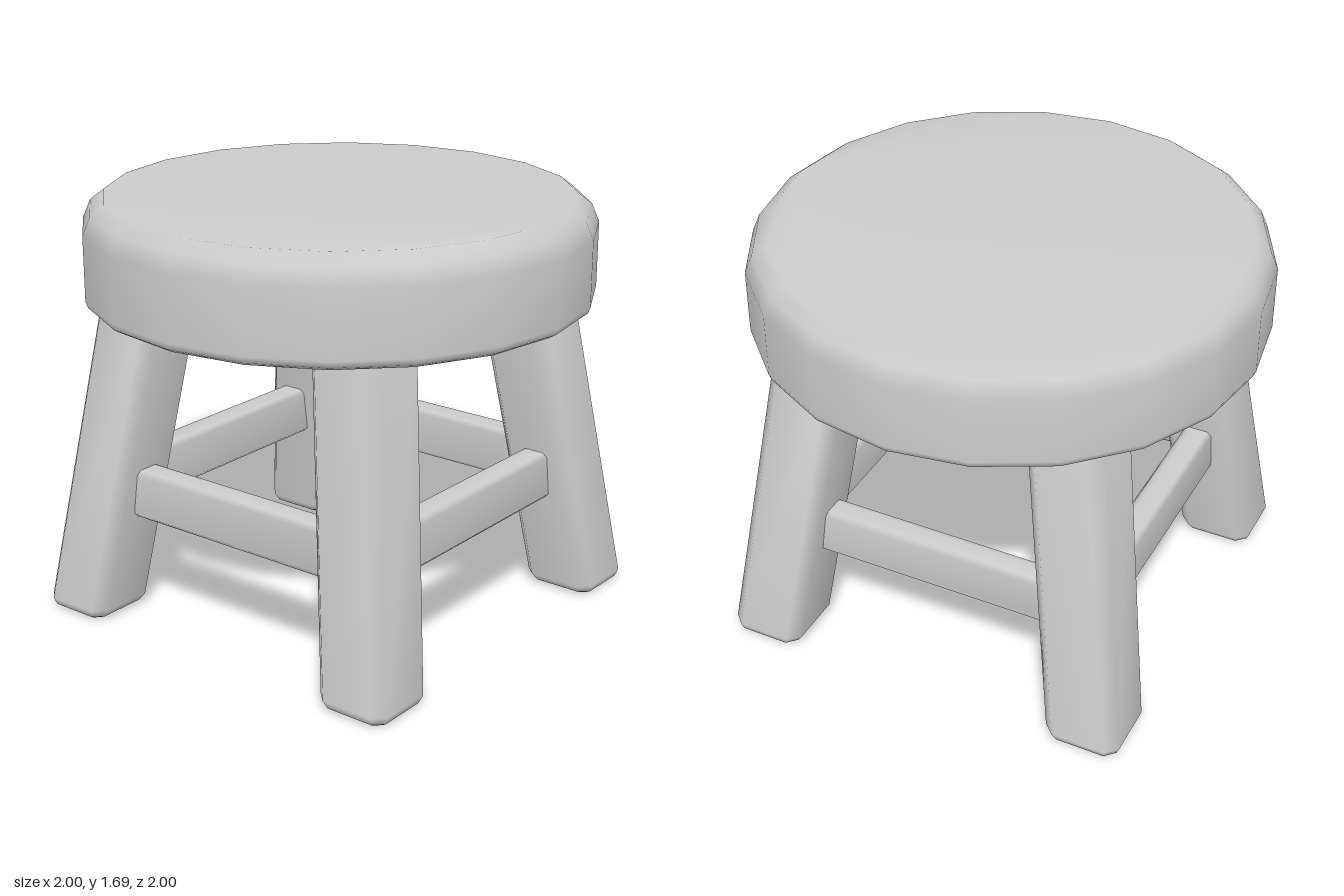
import * as THREE from 'three';

const material = new THREE.MeshStandardMaterial({ color: 0xcccccc });

// Skins horizontal rings of equal point count, listed bottom to top, and caps both ends.
// Shared vertices give smooth normals weighted by face area.
function loft(rings) {
  const n = rings[0].length;
  const positions = rings.flat(2);
  const index = [];
  for (let r = 0; r < rings.length - 1; r++) {
    for (let i = 0; i < n; i++) {
      const a = r * n + i, b = r * n + (i + 1) % n;
      index.push(a, a + n, b, b, a + n, b + n);
    }
  }
  const top = (rings.length - 1) * n;
  for (let i = 1; i < n - 1; i++) {
    index.push(0, i, i + 1);
    index.push(top, top + i + 1, top + i);
  }
  const geometry = new THREE.BufferGeometry();
  geometry.setAttribute('position', new THREE.Float32BufferAttribute(positions, 3));
  geometry.setIndex(index);
  geometry.computeVertexNormals();
  return geometry;
}

// Rectangular ring with cut corners, ordered from +x towards +z.
function cutRect(cx, y, cz, hx, hz, cut) {
  return [
    [hx, -hz + cut], [hx, hz - cut], [hx - cut, hz], [-hx + cut, hz],
    [-hx, hz - cut], [-hx, -hz + cut], [-hx + cut, -hz], [hx - cut, -hz],
  ].map(([x, z]) => [cx + x, y, cz + z]);
}

function addMesh(parent, name, geometry) {
  const mesh = new THREE.Mesh(geometry, material);
  mesh.name = name;
  parent.add(mesh);
  return mesh;
}

// Thick twenty-sided seat with rounded rims
function seatGeometry() {
  const profile = [[0.965, 1.285], [0.99, 1.3], [1, 1.325], [1, 1.58], [0.97, 1.65], [0.915, 1.692]];
  return loft(profile.map(([radius, y]) => Array.from({ length: 20 }, (_, i) => {
    const a = i / 20 * Math.PI * 2;
    return [radius * Math.cos(a), y, radius * Math.sin(a)];
  })));
}

// Square leg leaning inwards on both axes, with bevelled edges and foot
function legGeometry() {
  const centre = (y) => 0.706 - 0.141 * y;
  const ring = (y, half, cut) => cutRect(centre(y), y, centre(y), half, half, cut);
  return loft([
    ring(0, 0.113, 0.025),
    ring(0.014, 0.136, 0.038),
    ring(0.045, 0.153, 0.045),
    ring(1.3, 0.153, 0.045),
  ]);
}

// Bevelled rail running between two legs along x
function railGeometry() {
  const ring = (y, hx, hz) => cutRect(0, y, 0, hx, hz, 0.018);
  return loft([
    ring(0.428, 0.532, 0.042),
    ring(0.446, 0.55, 0.06),
    ring(0.61, 0.55, 0.06),
    ring(0.628, 0.532, 0.042),
  ]);
}

export function createModel() {
  const stool = new THREE.Group();
  stool.name = 'stool';
  addMesh(stool, 'seat', seatGeometry());

  // Four legs and four rails, repeated by quarter turns
  const leg = legGeometry(), rail = railGeometry();
  const legNames = ['frontLeftLeg', 'backLeftLeg', 'backRightLeg', 'frontRightLeg'];
  const railNames = ['frontRail', 'leftRail', 'backRail', 'rightRail'];
  for (let i = 0; i < 4; i++) {
    const turn = i * Math.PI / 2;
    addMesh(stool, legNames[i], leg).rotation.y = turn;
    const bar = addMesh(stool, railNames[i], rail);
    bar.rotation.y = turn;
    bar.position.set(0.63 * Math.sin(turn), 0, 0.63 * Math.cos(turn));
  }
  return stool;
}
